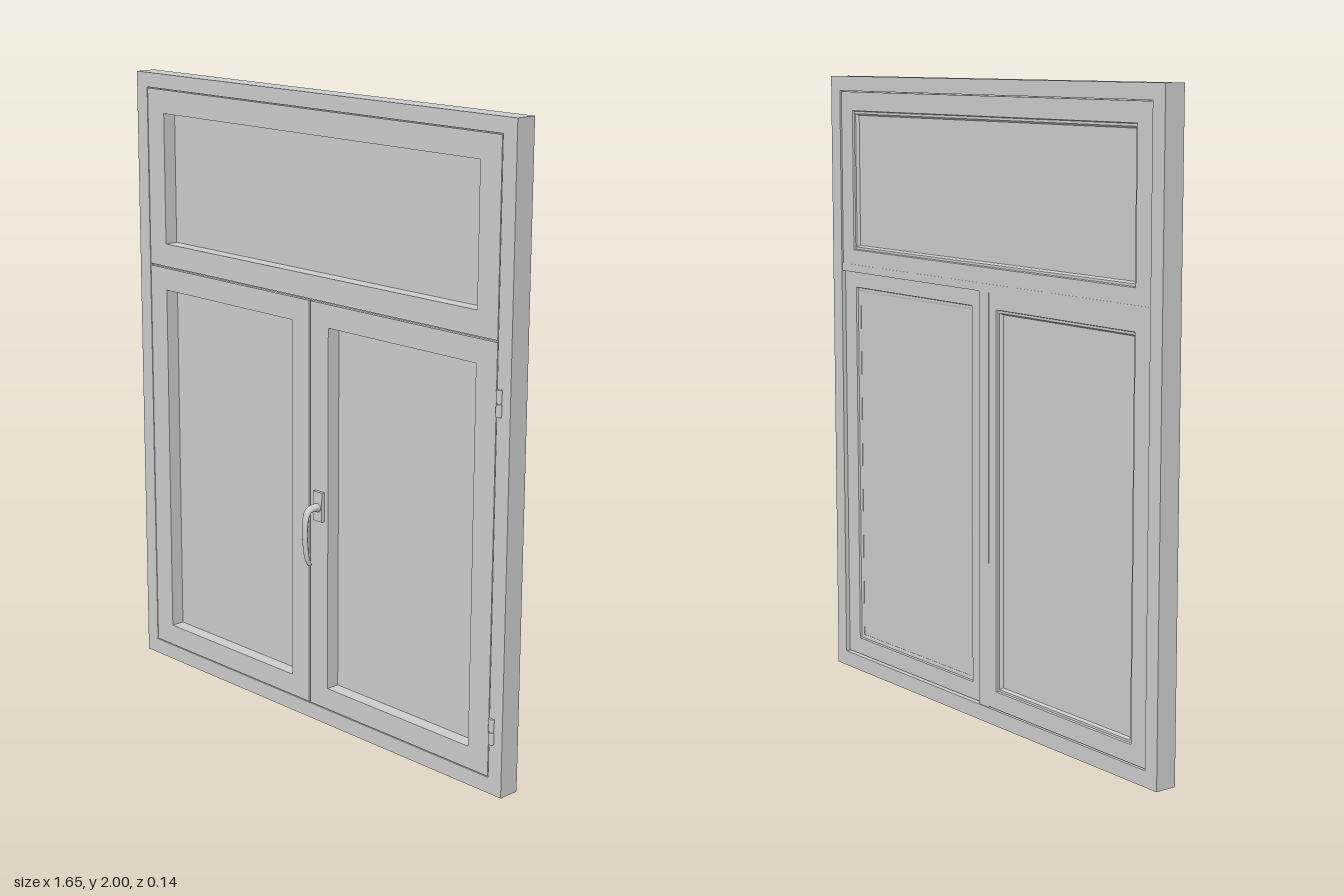
import * as THREE from 'three';

const material = new THREE.MeshStandardMaterial({ color: 0xcccccc });

function add(parent, name, geometry, x = 0, y = 0, z = 0) {
  const mesh = new THREE.Mesh(geometry, material);
  mesh.name = name;
  mesh.position.set(x, y, z);
  parent.add(mesh);
  return mesh;
}

// Box given by its limits on each axis.
function addBox(parent, name, x0, x1, y0, y1, z0, z1) {
  return add(parent, name, new THREE.BoxGeometry(x1 - x0, y1 - y0, z1 - z0),
    (x0 + x1) / 2, (y0 + y1) / 2, (z0 + z1) / 2);
}

// Mitred frame: a closed profile of [t, z] swept round a rectangle,
// where t = 0 is the outer rectangle and t = 1 the opening.
function mitredFrame(outer, inner, profile) {
  const corner = (i, [t, z]) => {
    const r = outer.map((v, k) => v + (inner[k] - v) * t);
    return [i === 1 || i === 2 ? r[1] : r[0], i >= 2 ? r[3] : r[2], z];
  };
  const pos = [];
  profile.forEach((p, k) => {
    const q = profile[(k + 1) % profile.length];
    for (let i = 0; i < 4; i++) {
      const j = (i + 1) % 4;
      const [a, b, c, d] = [corner(i, p), corner(j, p), corner(j, q), corner(i, q)];
      pos.push(...a, ...b, ...c, ...a, ...c, ...d);
    }
  });
  const g = new THREE.BufferGeometry();
  g.setAttribute('position', new THREE.Float32BufferAttribute(pos, 3));
  g.computeVertexNormals();
  return g;
}

// Sash with a deep front reveal, a glazing bead at the back and a pane.
function addSash(parent, name, outer, pane, back) {
  const sash = new THREE.Group();
  sash.name = name;
  add(sash, 'sashFrame', mitredFrame(outer, pane, [
    [0, 0], [1, 0], [1, -0.051], [0.93, back + 0.006],
    [0.83, back + 0.006], [0.8, back], [0, back],
  ]));
  const m = 0.01;
  addBox(sash, 'pane', pane[0] - m, pane[1] + m, pane[2] - m, pane[3] + m, -0.05, -0.045);
  parent.add(sash);
}

// Lever handle: rounded sections lofted along a curve in the y-z plane.
function leverGeometry() {
  const path = new THREE.CatmullRomCurve3([
    [0.718, 0.005], [0.721, 0.028], [0.715, 0.05], [0.69, 0.061], [0.65, 0.064],
    [0.6, 0.061], [0.56, 0.054], [0.54, 0.044],
  ].map(([y, z]) => new THREE.Vector3(0, y, z)));
  const rings = 32, sides = 14, pos = [], index = [];
  for (let i = 0; i <= rings; i++) {
    const u = i / rings, p = path.getPoint(u), t = path.getTangent(u);
    const w = 0.015 - 0.006 * u;
    const h = 0.006 + 0.009 * Math.max(0, 1 - u * 2.5);
    for (let s = 0; s < sides; s++) {
      const a = (s / sides) * Math.PI * 2, c = Math.cos(a) * w, d = Math.sin(a) * h;
      pos.push(c, p.y + t.z * d, p.z - t.y * d);
      if (i < rings) {
        const n = (s + 1) % sides, A = i * sides + s, B = i * sides + n;
        index.push(A, B, B + sides, A, B + sides, A + sides);
      }
    }
  }
  // Close the tip.
  const end = path.getPoint(1);
  pos.push(end.x, end.y, end.z);
  for (let s = 0; s < sides; s++) {
    index.push(rings * sides + s, rings * sides + (s + 1) % sides, (rings + 1) * sides);
  }
  const g = new THREE.BufferGeometry();
  g.setAttribute('position', new THREE.Float32BufferAttribute(pos, 3));
  g.setIndex(index);
  g.computeVertexNormals();
  return g;
}

export function createModel() {
  const group = new THREE.Group();
  group.name = 'window';

  // Outer frame with a rebate lip behind the sash joints
  add(group, 'outerFrame', mitredFrame([-0.825, 0.825, 0, 2], [-0.774, 0.774, 0.05, 1.953], [
    [0, 0], [1, 0], [1, -0.012], [1.2, -0.012], [1.2, -0.045], [1, -0.045], [1, -0.07], [0, -0.07],
  ]));

  // Transom and mullion seated behind the joints
  addBox(group, 'transom', -0.774, 0.774, 1.36, 1.382, -0.045, -0.012);
  addBox(group, 'mullion', -0.012, 0.012, 0.05, 1.371, -0.045, -0.012);
  addBox(group, 'mullionBack', -0.03, 0.018, 0.05, 1.371, -0.067, -0.04);
  addBox(group, 'transomBack', -0.774, 0.774, 1.36, 1.385, -0.067, -0.04);

  // Sashes: fixed light above, fixed and opening lights below
  addSash(group, 'topSash', [-0.771, 0.771, 1.374, 1.95], [-0.691, 0.691, 1.449, 1.874], -0.066);
  addSash(group, 'rightSash', [-0.771, -0.003, 0.053, 1.368], [-0.691, -0.082, 0.123, 1.295], -0.066);
  addSash(group, 'leftSash', [0.003, 0.771, 0.053, 1.368], [0.082, 0.691, 0.123, 1.295], -0.058);

  // Handle
  const handle = new THREE.Group();
  handle.name = 'handle';
  addBox(handle, 'handlePlate', 0.026, 0.066, 0.675, 0.77, -0.002, 0.011);
  add(handle, 'handleLever', leverGeometry(), 0.046);
  group.add(handle);

  // Hinges: two knuckles each on a thin pin
  for (const y of [0.2, 1.195]) {
    const hinge = new THREE.Group();
    hinge.name = 'hinge';
    for (const s of [-1, 1]) {
      add(hinge, 'hingeKnuckle', new THREE.CylinderGeometry(0.01, 0.01, 0.038, 16), 0, s * 0.021, 0);
    }
    add(hinge, 'hingePin', new THREE.CylinderGeometry(0.007, 0.007, 0.07, 12));
    hinge.position.set(0.783, y, 0);
    group.add(hinge);
  }
  return group;
}
